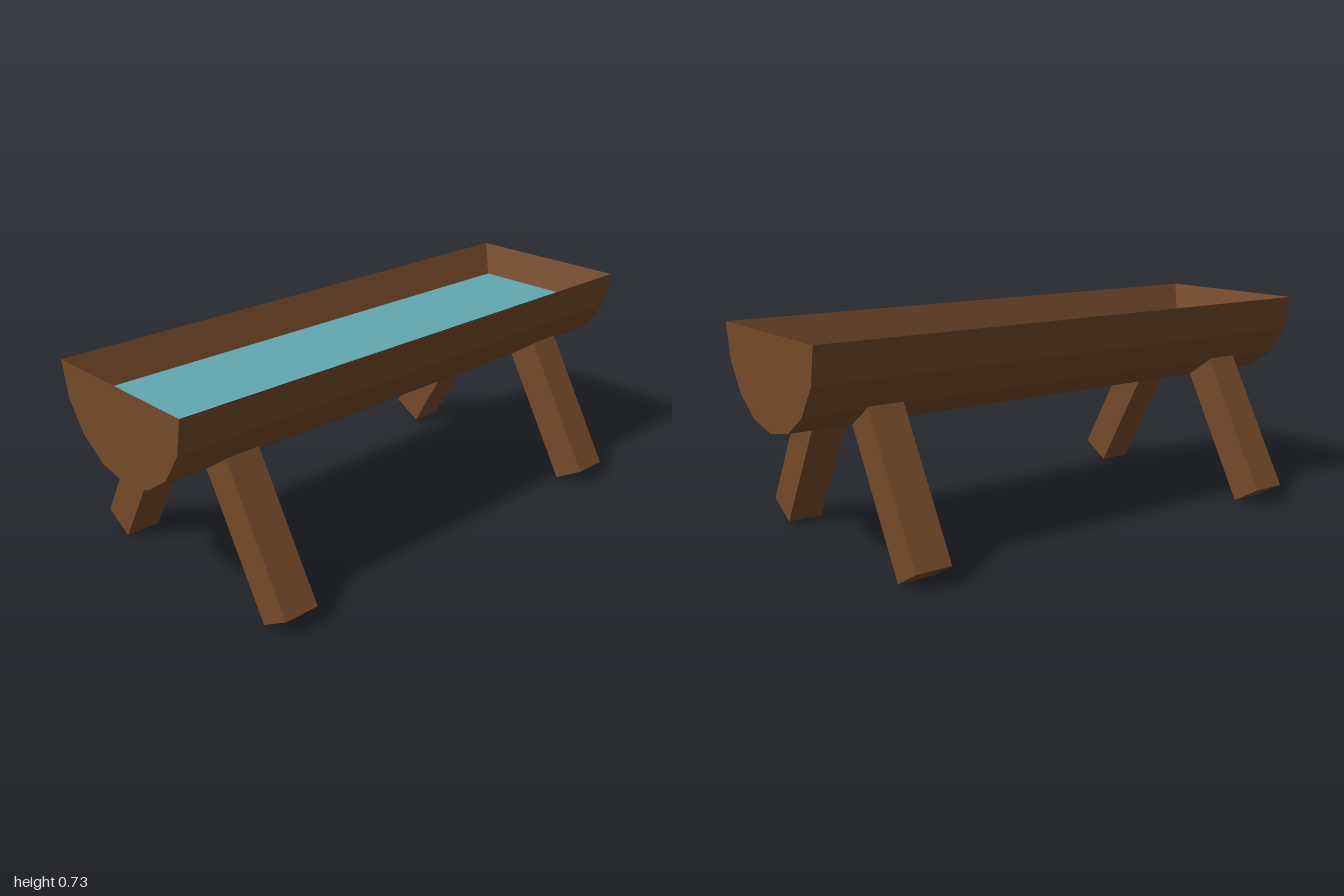
import * as THREE from 'three';

const wood = new THREE.MeshStandardMaterial({ color: 0x74492a, flatShading: true });
const waterMaterial = new THREE.MeshStandardMaterial({ color: 0x62a8b0, flatShading: true });

// Flat-shaded geometry from convex polygons with counter-clockwise corners
function fromPolygons(polygons) {
  const positions = [];
  for (const p of polygons) {
    for (let i = 1; i < p.length - 1; i++) positions.push(...p[0], ...p[i], ...p[i + 1]);
  }
  const geometry = new THREE.BufferGeometry();
  geometry.setAttribute('position', new THREE.Float32BufferAttribute(positions, 3));
  geometry.computeVertexNormals();
  return geometry;
}

function addMesh(parent, name, geometry, material) {
  const mesh = new THREE.Mesh(geometry, material);
  mesh.name = name;
  parent.add(mesh);
  return mesh;
}

export function createModel() {
  const model = new THREE.Group();
  model.name = 'waterTrough';

  const zMid = 0.003, rimY = 0.734, waterY = 0.617;

  // Half-log cross-section [z, y], front rim round the bottom to back rim
  const half = [[0.315, rimY], [0.292, 0.612], [0.222, 0.509], [0.124, 0.443]];
  const profile = [...half, [0, 0.419], ...half.map(([z, y]) => [-z, y]).reverse()];
  const ring = (x) => profile.map(([z, y]) => [x, y, z + zMid]);
  const right = ring(-1), left = ring(1);

  // Outer staves and the two end boards
  const shell = [left, [...right].reverse()];
  for (let i = 0; i < profile.length - 1; i++) {
    shell.push([right[i], right[i + 1], left[i + 1], left[i]]);
  }
  addMesh(model, 'troughShell', fromPolygons(shell), wood);

  // Inner walls taper from the sharp rim down to the water line
  const rectangle = (x, y, z) => [[-x, y, z + zMid], [x, y, z + zMid], [x, y, zMid - z], [-x, y, zMid - z]];
  const rim = rectangle(1, rimY, 0.315);
  const pool = rectangle(0.968, waterY, 0.27);
  const walls = rim.map((corner, i) => {
    const j = (i + 1) % 4;
    return [corner, rim[j], pool[j], pool[i]];
  });
  addMesh(model, 'innerWalls', fromPolygons(walls), wood);
  addMesh(model, 'water', fromPolygons([pool]), waterMaterial);

  // Four square legs splayed outwards, their tops buried in the log
  const tilt = Math.PI / 6, legLength = 0.55;
  const legGeometry = new THREE.BoxGeometry(0.125, legLength, 0.124);
  legGeometry.translate(0, legLength / 2, 0);
  for (const sz of [1, -1]) {
    for (const sx of [1, -1]) {
      const name = (sz > 0 ? 'front' : 'back') + (sx > 0 ? 'Left' : 'Right') + 'Leg';
      const leg = addMesh(model, name, legGeometry, wood);
      leg.position.set(sx * 0.725, 0.031, sz * 0.433);
      leg.rotation.x = -sz * tilt;
    }
  }
  return model;
}
